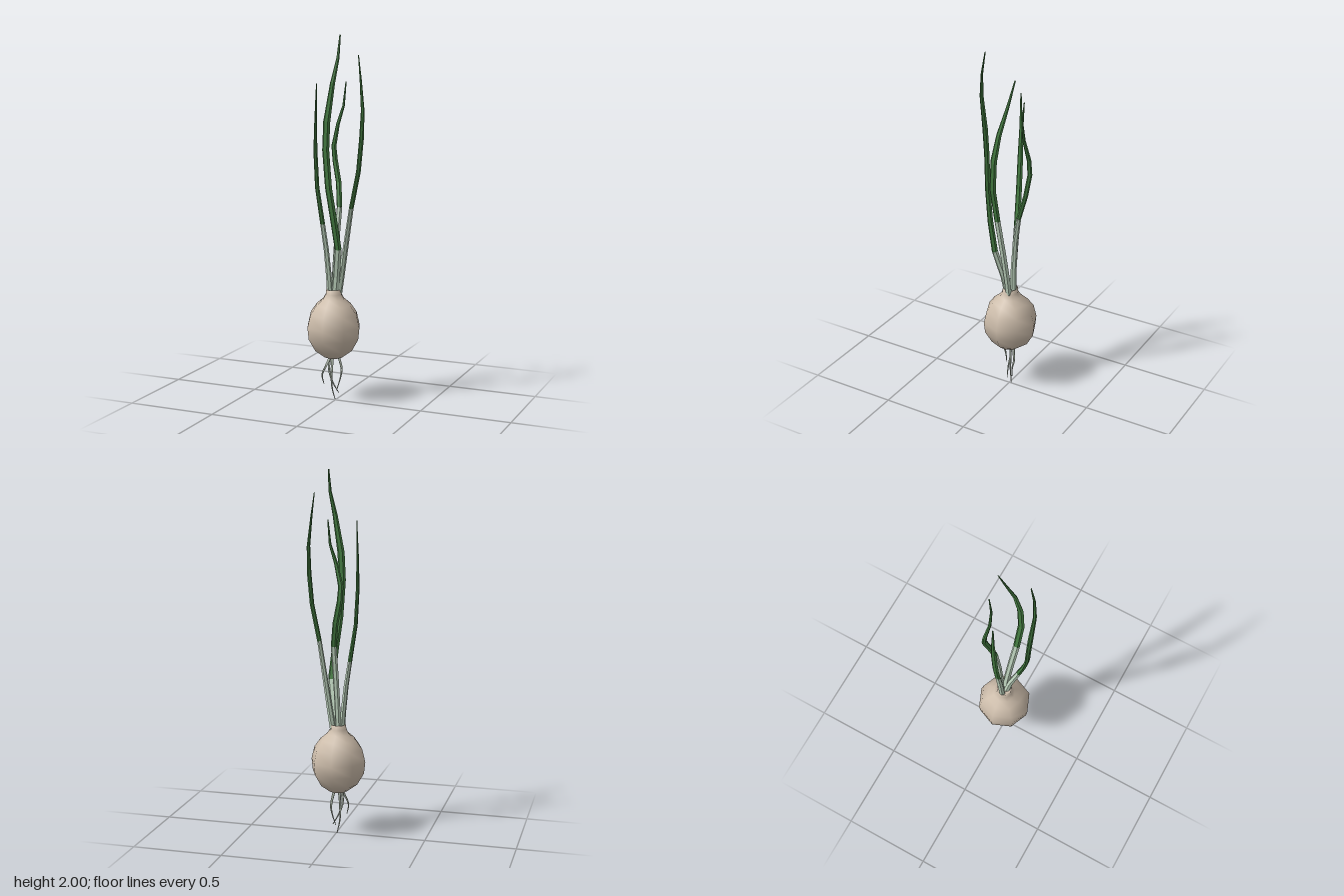
import * as THREE from 'three';

const material = (name, color, extra = {}) => {
  const m = new THREE.MeshStandardMaterial({ color, ...extra });
  m.name = name;
  return m;
};

// Sweeps an elliptical ring along points; 'wide' is the broad axis, size(t) gives [broad, thin] radii.
function sweep(points, wide, size, sides) {
  const n = points.length, pos = [], idx = [];
  points.forEach((p, i) => {
    const tan = points[Math.min(i + 1, n - 1)].clone().sub(points[Math.max(i - 1, 0)]).normalize();
    const u = wide.clone().addScaledVector(tan, -wide.dot(tan)).normalize();
    const v = new THREE.Vector3().crossVectors(tan, u);
    const [a, b] = size(i / (n - 1), p.y);
    for (let k = 0; k < sides; k++) {
      const ang = (k / sides) * Math.PI * 2;
      const q = p.clone().addScaledVector(u, a * Math.cos(ang)).addScaledVector(v, b * Math.sin(ang));
      pos.push(q.x, q.y, q.z);
    }
  });
  for (let i = 0; i < n - 1; i++) for (let k = 0; k < sides; k++) {
    const a = i * sides + k, b = i * sides + (k + 1) % sides;
    idx.push(a, b, a + sides, b, b + sides, a + sides);
  }
  // end caps
  for (let k = 1; k < sides - 1; k++) {
    const e = (n - 1) * sides;
    idx.push(0, k + 1, k, e, e + k, e + k + 1);
  }
  const g = new THREE.BufferGeometry();
  g.setAttribute('position', new THREE.Float32BufferAttribute(pos, 3));
  g.setIndex(idx);
  g.computeVertexNormals();
  return g;
}

const curveOf = pts => new THREE.CatmullRomCurve3(pts.map(p => new THREE.Vector3(...p)), false, 'centripetal');

export function createModel() {
  const skin = material('onionSkin', 0xcdbdab, { side: THREE.DoubleSide });
  const pale = material('paleStem', 0xbdd2bd, { flatShading: true });
  const green = material('leafGreen', 0x457d42, { flatShading: true });
  const rootMat = material('rootGrey', 0xbcc6b8);
  const model = new THREE.Group();
  model.name = 'sproutingOnion';

  // Bulb: eight-sided, with a short neck closed just below its rim
  const profile = [[0, 0.235], [0.05, 0.245], [0.108, 0.288], [0.146, 0.355], [0.153, 0.42], [0.136, 0.49],
    [0.1, 0.54], [0.062, 0.572], [0.046, 0.598], [0.043, 0.625], [0.034, 0.618], [0, 0.605]];
  const bulb = new THREE.Mesh(
    new THREE.LatheGeometry(profile.map(p => new THREE.Vector2(...p)), 8), skin);
  bulb.name = 'bulb';
  bulb.position.x = -0.01;
  model.add(bulb);

  // Leaves: path, height where the green begins, broad axis, mid radii
  const X = new THREE.Vector3(1, 0, 0), Z = new THREE.Vector3(0, 0, 1);
  const leaves = [
    { name: 'frontLeaf', split: 0.86, wide: X, r: [0.02, 0.012],
      path: [[0.0, 0.58, 0.008], [0.018, 0.7, 0.025], [0.045, 0.86, 0.065], [0.033, 1.03, 0.1], [0.015, 1.2, 0.125],
        [0.004, 1.4, 0.136], [0.012, 1.55, 0.14], [0.045, 1.75, 0.14], [0.068, 1.88, 0.122], [0.071, 2, 0.1]] },
    { name: 'leftLeaf', split: 1.08, wide: Z, r: [0.019, 0.011],
      path: [[0.015, 0.58, -0.008], [0.035, 0.7, -0.006], [0.065, 0.88, 0.003], [0.1, 1.08, 0.015], [0.142, 1.28, 0.018],
        [0.153, 1.45, 0.004], [0.148, 1.6, -0.025], [0.12, 1.76, -0.064], [0.096, 1.89, -0.09]] },
    { name: 'rightLeaf', split: 0.98, wide: Z, r: [0.018, 0.01],
      path: [[-0.03, 0.58, 0], [-0.04, 0.7, -0.003], [-0.055, 0.84, -0.004], [-0.076, 0.98, -0.003], [-0.106, 1.18, 0.002],
        [-0.117, 1.38, 0], [-0.117, 1.55, -0.004], [-0.112, 1.74, -0.005]] },
    { name: 'backLeaf', split: 1.07, wide: X, r: [0.016, 0.012],
      path: [[-0.015, 0.58, -0.015], [-0.01, 0.75, -0.022], [-0.004, 0.92, -0.036], [0, 1.07, -0.058], [-0.018, 1.2, -0.089],
        [-0.044, 1.32, -0.1], [-0.048, 1.4, -0.092], [-0.018, 1.52, -0.078], [0.012, 1.62, -0.085], [0.02, 1.75, -0.1]] },
  ];
  for (const { name, split, wide, r, path } of leaves) {
    const tip = path[path.length - 1][1];
    // broad rounded base, flat middle, tapering tip
    const size = (t, y) => {
      const base = THREE.MathUtils.clamp((1.1 - y) / 0.5, 0, 1);
      const taper = THREE.MathUtils.clamp((tip - y) / 0.4, 0, 1) * 0.8 + 0.2;
      return [r[0] * taper, (r[1] + 0.006 * base) * taper];
    };
    const cut = path.findIndex(p => p[1] === split);
    const leaf = new THREE.Group();
    leaf.name = name;
    const pts = path.map(p => new THREE.Vector3(...p));
    const stem = new THREE.Mesh(sweep(pts.slice(0, cut + 1), wide, size, 6), pale);
    const blade = new THREE.Mesh(sweep(pts.slice(cut), wide, size, 6), green);
    stem.name = 'stem';
    blade.name = 'blade';
    leaf.add(stem, blade);
    model.add(leaf);
  }

  // Roots: thin tapering strands under the bulb
  const roots = [
    [[-0.015, 0.25, 0.035], [-0.035, 0.2, 0.052], [-0.055, 0.15, 0.055], [-0.048, 0.1, 0.045]],
    [[-0.025, 0.25, 0.012], [-0.033, 0.17, 0.01], [-0.008, 0.1, 0.012], [0.022, 0.045, 0.002]],
    [[0.005, 0.25, -0.03], [0.02, 0.17, -0.042], [0.018, 0.12, -0.03], [0.0, 0.05, -0.018]],
    [[-0.015, 0.25, 0], [-0.02, 0.15, 0.004], [-0.018, 0.07, 0.003], [-0.005, 0, -0.01]],
  ];
  roots.forEach((path, i) => {
    const size = t => [0.008 - 0.006 * t, 0.008 - 0.006 * t];
    const root = new THREE.Mesh(sweep(curveOf(path).getPoints(8), X, size, 5), rootMat);
    root.name = 'root' + (i + 1);
    model.add(root);
  });
  return model;
}
